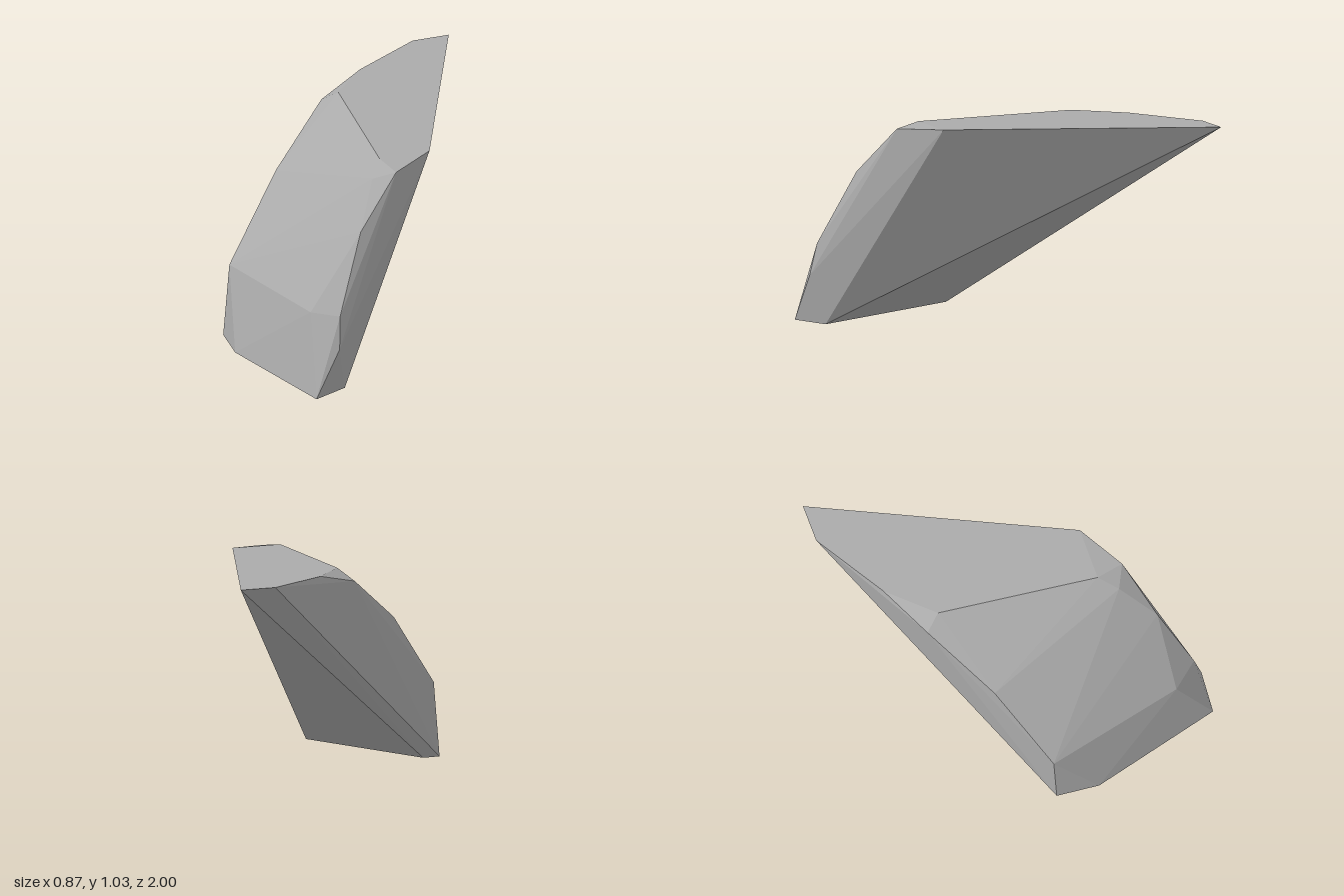
import * as THREE from 'three';
import { ConvexGeometry } from 'three/addons/geometries/ConvexGeometry.js';

export function createModel() {
  const group = new THREE.Group();
  group.name = 'rock';
  const stone = new THREE.MeshStandardMaterial({ color: 0xaaaaaa });
  stone.name = 'stone grey';

  // Corners of the faceted boulder, ring by ring
  const corners = [
    // flat top
    [-0.31, 1.03, -1], [-0.41, 1.03, -0.84], [-0.415, 1.03, -0.42],
    [-0.34, 1.03, -0.14], [0.285, 1.03, 0.36], [0.425, 1.03, 0.14],
    // chipped upper edge
    [-0.435, 0.97, -0.13], [0.32, 0.97, 0.465], [0.42, 1.01, 0.405],
    // sloping front
    [-0.415, 0.74, 0.27], [0.387, 0.77, 0.65],
    [-0.42, 0.37, 0.64], [0.25, 0.385, 0.875], [0.415, 0.4, 0.855],
    [0.435, 0.24, 0.885],
    // base
    [-0.435, 0, 0.67], [-0.265, 0, 0.8], [0.38, 0, 1],
    [0.41, 0, 0.81], [-0.39, 0, 0.59],
  ].map((p) => new THREE.Vector3(...p));

  // The hull gives each facet its own flat normal
  const boulder = new THREE.Mesh(new ConvexGeometry(corners), stone);
  boulder.name = 'boulder';
  group.add(boulder);
  return group;
}
